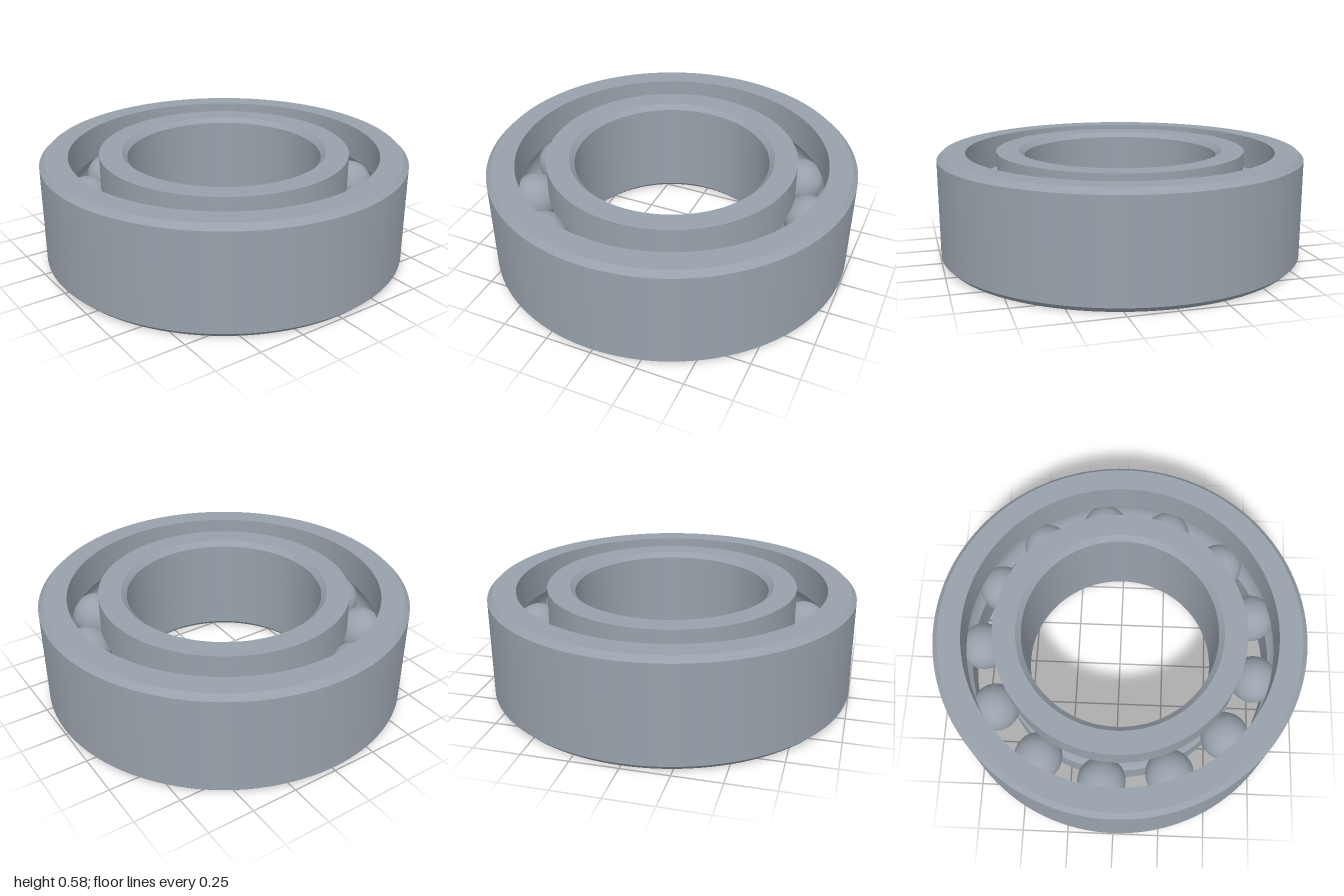
import * as THREE from 'three';
import { toCreasedNormals } from 'three/addons/utils/BufferGeometryUtils.js';

const HEIGHT = 0.585, MID = HEIGHT / 2, CHAMFER = 0.028;
const BALL_R = 0.13, PITCH_R = 0.765, BALLS = 13;
const BORE = 0.53, INNER_EDGE = 0.682, OUTER_EDGE = 0.848, OUTSIDE = 1;

// Raceway arc, concentric with the balls, running up (dir 1) or down (dir -1)
function groove(radius, dir) {
  const side = Math.sign(radius - PITCH_R);
  const half = Math.acos(Math.abs(radius - PITCH_R) / BALL_R);
  const points = [];
  for (let i = 0; i <= 12; i++) {
    const a = dir * half * (i / 6 - 1);
    points.push([PITCH_R + side * BALL_R * Math.cos(a), MID + BALL_R * Math.sin(a)]);
  }
  return points;
}

// Revolves a closed, counter-clockwise profile into a ring
function ring(name, profile, material) {
  const points = [...profile, profile[0]].map(([x, y]) => new THREE.Vector2(x, y));
  const mesh = new THREE.Mesh(toCreasedNormals(new THREE.LatheGeometry(points, 128), 0.5), material);
  mesh.name = name;
  return mesh;
}

export function createModel() {
  const model = new THREE.Group();
  model.name = 'ballBearing';
  const steel = new THREE.MeshStandardMaterial({ color: 0x98a1ab });
  steel.name = 'steel';

  // Outer race: chamfered outside, grooved inside
  model.add(ring('outerRace', [
    [OUTER_EDGE, 0], [OUTSIDE - CHAMFER, 0], [OUTSIDE, CHAMFER],
    [OUTSIDE, HEIGHT - CHAMFER], [OUTSIDE - CHAMFER, HEIGHT], [OUTER_EDGE, HEIGHT],
    ...groove(OUTER_EDGE, -1),
  ], steel));

  // Inner race: chamfered bore, grooved outside
  model.add(ring('innerRace', [
    [BORE + CHAMFER, 0], [INNER_EDGE, 0],
    ...groove(INNER_EDGE, 1),
    [INNER_EDGE, HEIGHT], [BORE + CHAMFER, HEIGHT],
    [BORE, HEIGHT - CHAMFER], [BORE, CHAMFER],
  ], steel));

  // Evenly spaced balls
  const balls = new THREE.Group();
  balls.name = 'balls';
  const ballGeometry = new THREE.SphereGeometry(BALL_R, 40, 24);
  for (let i = 0; i < BALLS; i++) {
    const a = 0.211 + (i / BALLS) * Math.PI * 2;
    const ball = new THREE.Mesh(ballGeometry, steel);
    ball.name = 'ball';
    ball.position.set(PITCH_R * Math.cos(a), MID, PITCH_R * Math.sin(a));
    balls.add(ball);
  }
  model.add(balls);
  return model;
}
